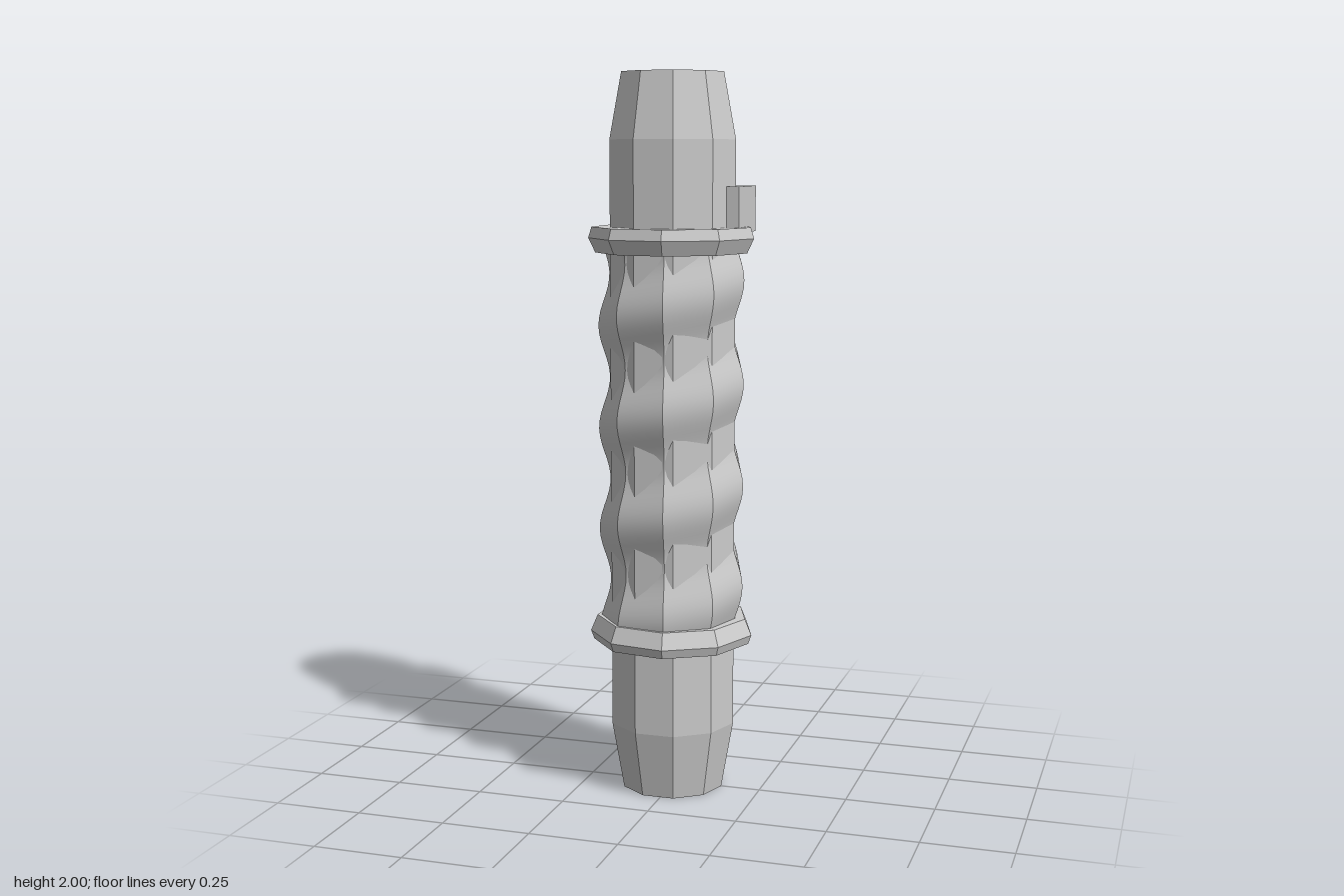
import * as THREE from 'three';
import { mergeGeometries } from 'three/addons/utils/BufferGeometryUtils.js';

const AXIS_X = -0.007;

// Faceted solid of revolution; profile runs bottom to top, first corner on +x
function faceted(profile, sides) {
  const points = profile.map(([r, y]) => new THREE.Vector2(r, y));
  const geometry = new THREE.LatheGeometry(points, sides, Math.PI / 2).toNonIndexed();
  geometry.computeVertexNormals();
  return geometry;
}

// Nine-sided grip with a ridge spiralling round it: smooth along y, sharp at the corners
function spiralGrip(bottom, top) {
  const sides = 9, pitch = 0.285, ridgeY = 1.37;
  const step = (Math.PI * 2) / sides;
  const panels = [];
  for (let i = 0; i < sides; i++) {
    const panel = new THREE.PlaneGeometry(1, 1, 1, 48);
    const p = panel.attributes.position;
    for (let k = 0; k < p.count; k++) {
      const angle = Math.PI / 2 + (i + p.getX(k) + 0.5) * step;
      const y = bottom + (p.getY(k) + 0.5) * (top - bottom);
      const wave = Math.cos(((y - ridgeY) / pitch) * Math.PI * 2 - angle);
      const r = 0.189 + 0.0155 * wave;
      p.setXYZ(k, r * Math.sin(angle), y, r * Math.cos(angle));
    }
    panel.computeVertexNormals();
    panels.push(panel);
  }
  return mergeGeometries(panels);
}

export function createModel() {
  const model = new THREE.Group();
  model.name = 'handle';
  const grey = new THREE.MeshStandardMaterial({ color: 0xcccccc });
  grey.name = 'light grey';

  function add(name, geometry, x = AXIS_X, y = 0, z = 0) {
    const mesh = new THREE.Mesh(geometry, grey);
    mesh.name = name;
    mesh.position.set(x, y, z);
    model.add(mesh);
  }

  // Ten-sided core with tapered ends
  add('core', faceted([[0, 0], [0.145, 0], [0.179, 0.19], [0.179, 1.82], [0.145, 2], [0, 2]], 10));

  // Grip and its two bevelled collars
  add('grip', spiralGrip(0.48, 1.53));
  add('lowerCollar', faceted([[0.16, 0.425], [0.222, 0.425], [0.231, 0.45], [0.212, 0.495], [0.16, 0.495]], 9));
  add('upperCollar', faceted([[0.16, 1.515], [0.212, 1.515], [0.231, 1.555], [0.222, 1.585], [0.16, 1.585]], 9));

  // Small button block above the upper collar
  add('button', new THREE.BoxGeometry(0.093, 0.125, 0.174), 0.1465, 1.6325, -0.044);

  return model;
}
